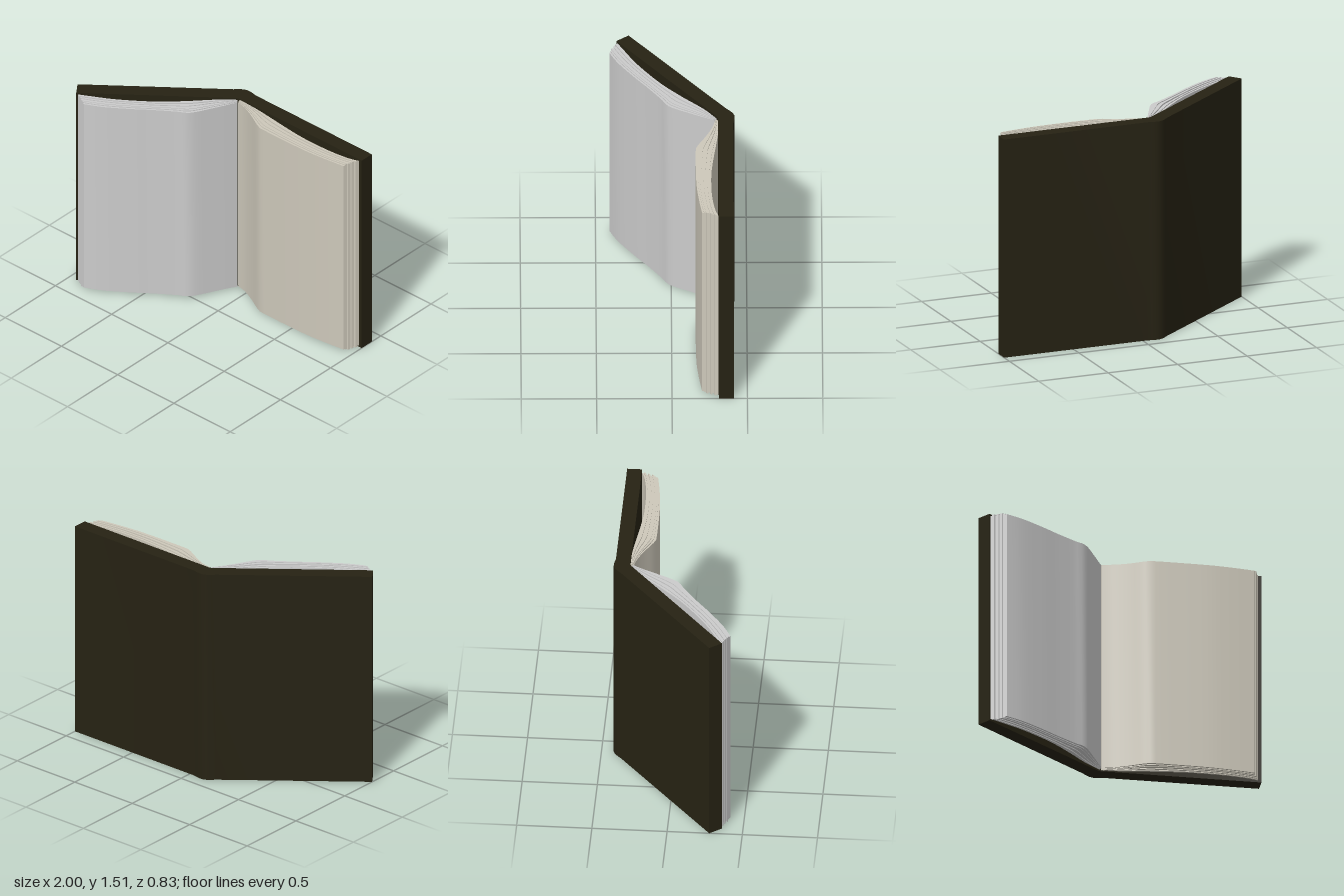
import * as THREE from 'three';
import { toCreasedNormals } from 'three/addons/utils/BufferGeometryUtils.js';

const HEIGHT = 1.51;
const coverMat = new THREE.MeshStandardMaterial({ color: 0x262213 });
const creamMat = new THREE.MeshStandardMaterial({ color: 0xcdc8ba });
const greyMat = new THREE.MeshStandardMaterial({ color: 0xcccccc });

// Upright prism from a plan outline of [x, z] points, between two heights
function prism(name, plan, y0, y1, material) {
  const shape = new THREE.Shape(plan.map(([x, z]) => new THREE.Vector2(x, -z)));
  let geo = new THREE.ExtrudeGeometry(shape, { depth: y1 - y0, bevelEnabled: false });
  geo.rotateX(-Math.PI / 2).translate(0, y0, 0);
  geo = toCreasedNormals(geo, 0.6);
  const mesh = new THREE.Mesh(geo, material);
  mesh.name = name;
  return mesh;
}

// Page block: layers blended between a back curve and a front curve,
// both running from the spine to the fore edge
function pageBlock(name, front, back, material) {
  const group = new THREE.Group();
  group.name = name;
  const curve = (pts) => new THREE.SplineCurve(pts.map(([x, z]) => new THREE.Vector2(x, z)));
  const f = curve(front), b = curve(back);
  const insets = [0.012, 0.006, 0.014, 0.005, 0.011, 0.006, 0.010, 0.016]; // uneven page ends
  const trims = [0.004, 0, 0.01, 0.002, 0.009, 0, 0.007, 0.004];           // uneven fore edges
  const n = insets.length, steps = 28;
  for (let i = 0; i < n; i++) {
    const side = (t) => Array.from({ length: steps + 1 }, (_, k) => {
      const u = (k / steps) * (1 - trims[i]);
      const p = b.getPointAt(u).lerp(f.getPointAt(u), t);
      return [p.x, p.y];
    });
    const plan = [...side(i / n), ...side((i + 1) / n).reverse()];
    group.add(prism('pageLayer', plan, insets[i], HEIGHT - insets[i], material));
  }
  return group;
}

export function createModel() {
  const book = new THREE.Group();
  book.name = 'openBook';

  // Cover: two boards joined by a rounded spine
  book.add(prism('cover', [
    [1, -0.41], [1, -0.31], [-0.08, -0.31], [-0.1, -0.305],
    [-0.94, 0.36], [-1, 0.28],
    [-0.19, -0.365], [-0.165, -0.39], [-0.14, -0.409], [-0.115, -0.419],
    [-0.09, -0.42], [-0.06, -0.416], [-0.03, -0.41],
  ], 0, HEIGHT, coverMat));

  // Pages on the +x board
  book.add(pageBlock('leftPages',
    [[-0.08, -0.29], [0, -0.27], [0.1, -0.225], [0.2, -0.172], [0.27, -0.16],
      [0.6, -0.163], [0.78, -0.178], [0.94, -0.2]],
    [[-0.08, -0.31], [0.05, -0.31], [0.2, -0.295], [0.4, -0.272], [0.55, -0.262],
      [0.75, -0.266], [0.9, -0.285], [0.98, -0.31]], creamMat));

  // Pages on the angled -x board
  book.add(pageBlock('rightPages',
    [[-0.082, -0.285], [-0.155, -0.135], [-0.235, 0.012], [-0.315, 0.065], [-0.45, 0.16],
      [-0.555, 0.24], [-0.715, 0.35], [-0.835, 0.41]],
    [[-0.095, -0.3], [-0.2, -0.218], [-0.35, -0.06], [-0.5, 0.08], [-0.7, 0.225],
      [-0.85, 0.31], [-0.935, 0.355]], greyMat));

  return book;
}
